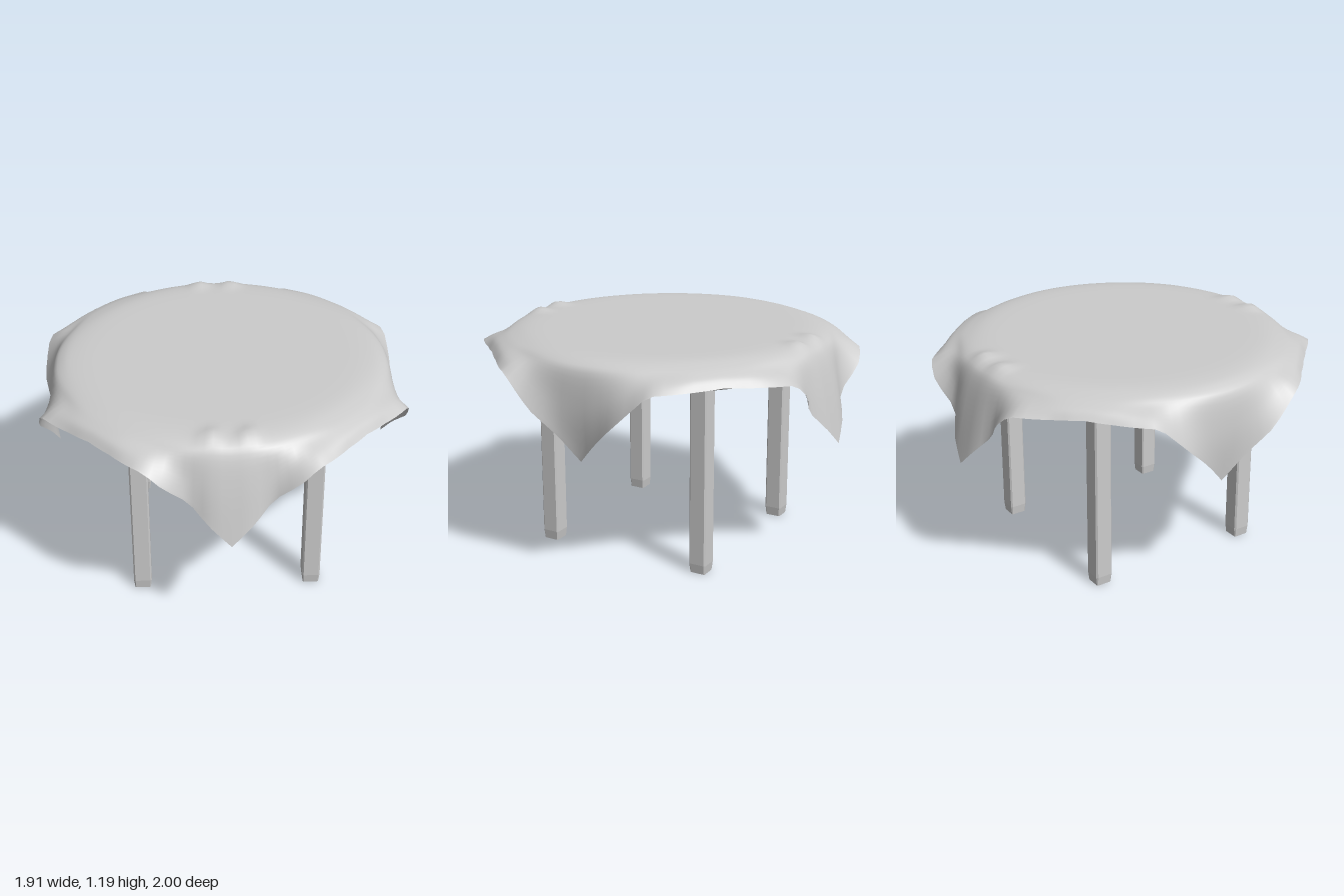
import * as THREE from 'three';
import { toCreasedNormals } from 'three/addons/utils/BufferGeometryUtils.js';

const material = new THREE.MeshStandardMaterial({ color: 0xcccccc });
const clothMaterial = new THREE.MeshStandardMaterial({ color: 0xcccccc, side: THREE.DoubleSide });

// Hem from a hanging corner (0 deg) to the middle of a side (45 deg):
// [angle, hem radius, hem height, mid radius, mid height]
const SIDE_HEM = [
  [0, 0.88, 0.65, 0.905, 0.88], [7, 0.92, 0.775, 0.915, 0.93], [14.6, 0.99, 0.9, 0.945, 1.0],
  [24, 1.02, 1.06, 0.965, 1.09], [36.6, 0.97, 1.065, 0.94, 1.105], [45, 0.96, 1.075, 0.93, 1.11],
];
const END_HEM = [
  [0, 1.0, 0.655, 0.945, 0.9], [6, 0.98, 0.755, 0.94, 0.94], [12.5, 0.935, 0.865, 0.92, 0.98],
  [19, 1.015, 0.985, 0.95, 1.05], [24, 1.025, 1.06, 0.965, 1.09],
  [36.6, 0.97, 1.065, 0.94, 1.105], [45, 0.96, 1.075, 0.93, 1.11],
];

function sampleHem(table, angle) {
  let i = 0;
  while (i < table.length - 2 && angle > table[i + 1][0]) i++;
  const a = table[i], b = table[i + 1];
  const t = (angle - a[0]) / (b[0] - a[0]);
  return a.map((v, k) => v + (b[k] - v) * t);
}

// Square cloth as rings of points, each spoke following its own drape curve
function clothGeometry() {
  const spokes = 128, rings = 26;
  const positions = [0, 1.172, 0], index = [];
  for (let s = 0; s < spokes; s++) {
    const theta = (s / spokes) * Math.PI * 2;
    const deg = (s / spokes) * 360;
    const quarter = Math.round(deg / 90);
    const off = Math.abs(deg - quarter * 90);
    const [, hemR, hemY, midR, midY] = sampleHem(quarter % 2 ? END_HEM : SIDE_HEM, off);
    const lift = Math.max(0, Math.min(1, off / 35));
    const curve = new THREE.SplineCurve([
      [0.35, 1.172], [0.6, 1.172], [0.75, 1.168], [0.84, 1.15],
      [0.89 + 0.005 * lift, 1.09 + 0.04 * lift], [midR, midY], [hemR, hemY],
    ].map(([r, y]) => new THREE.Vector2(r, y)));
    for (let k = 0; k < rings; k++) {
      const p = curve.getPoint(k / (rings - 1));
      const x = p.x * Math.cos(theta), z = p.x * Math.sin(theta);
      // two small puckers above each end corner
      const pucker = 0.024 * Math.exp(-(((Math.abs(x) - 0.09) / 0.045) ** 2) - ((Math.abs(z) - 0.79) / 0.06) ** 2);
      positions.push(x, p.y + pucker, z);
    }
  }
  const at = (s, k) => 1 + (s % spokes) * rings + k;
  for (let s = 0; s < spokes; s++) {
    index.push(0, at(s + 1, 0), at(s, 0));
    for (let k = 0; k < rings - 1; k++) {
      const a = at(s, k), b = at(s + 1, k), c = at(s + 1, k + 1), d = at(s, k + 1);
      index.push(a, b, c, a, c, d);
    }
  }
  const geometry = new THREE.BufferGeometry();
  geometry.setAttribute('position', new THREE.Float32BufferAttribute(positions, 3));
  geometry.setIndex(index);
  geometry.computeVertexNormals();
  return geometry;
}

// Square leg with chamfered edges and a slightly tapered foot
function legGeometry() {
  const h = 0.048, c = 0.008, height = 1.08, taper = 0.05;
  const shape = new THREE.Shape([
    [-h + c, -h], [h - c, -h], [h, -h + c], [h, h - c],
    [h - c, h], [-h + c, h], [-h, h - c], [-h, -h + c],
  ].map(([x, y]) => new THREE.Vector2(x, y)));
  const geometry = new THREE.ExtrudeGeometry(shape, {
    depth: height - 2 * taper, bevelEnabled: true, bevelSegments: 1,
    bevelThickness: taper, bevelSize: 0.006, bevelOffset: -0.006,
  });
  return geometry.rotateX(-Math.PI / 2).translate(0, taper, 0);
}

export function createModel() {
  const model = new THREE.Group();
  const add = (name, geometry, mat, parent) => {
    const mesh = new THREE.Mesh(geometry, mat);
    mesh.name = name;
    parent.add(mesh);
    return mesh;
  };

  const table = new THREE.Group();
  table.name = 'table';
  table.position.set(0.005, 0, 0.005);
  model.add(table);

  // Round top with bevelled rims
  const profile = [[0, 1.03], [0.835, 1.03], [0.85, 1.042], [0.85, 1.115], [0.835, 1.13], [0, 1.13]];
  const top = new THREE.LatheGeometry(profile.map(([r, y]) => new THREE.Vector2(r, y)), 64);
  add('tableTop', toCreasedNormals(top, 0.5), material, table);

  // Four legs
  const leg = legGeometry();
  for (const [side, x] of [['Left', 1], ['Right', -1]])
    for (const [end, z] of [['front', 1], ['back', -1]])
      add(`${end}${side}Leg`, leg, material, table).position.set(x * 0.457, 0, z * 0.457);

  add('tablecloth', clothGeometry(), clothMaterial, model);
  return model;
}
